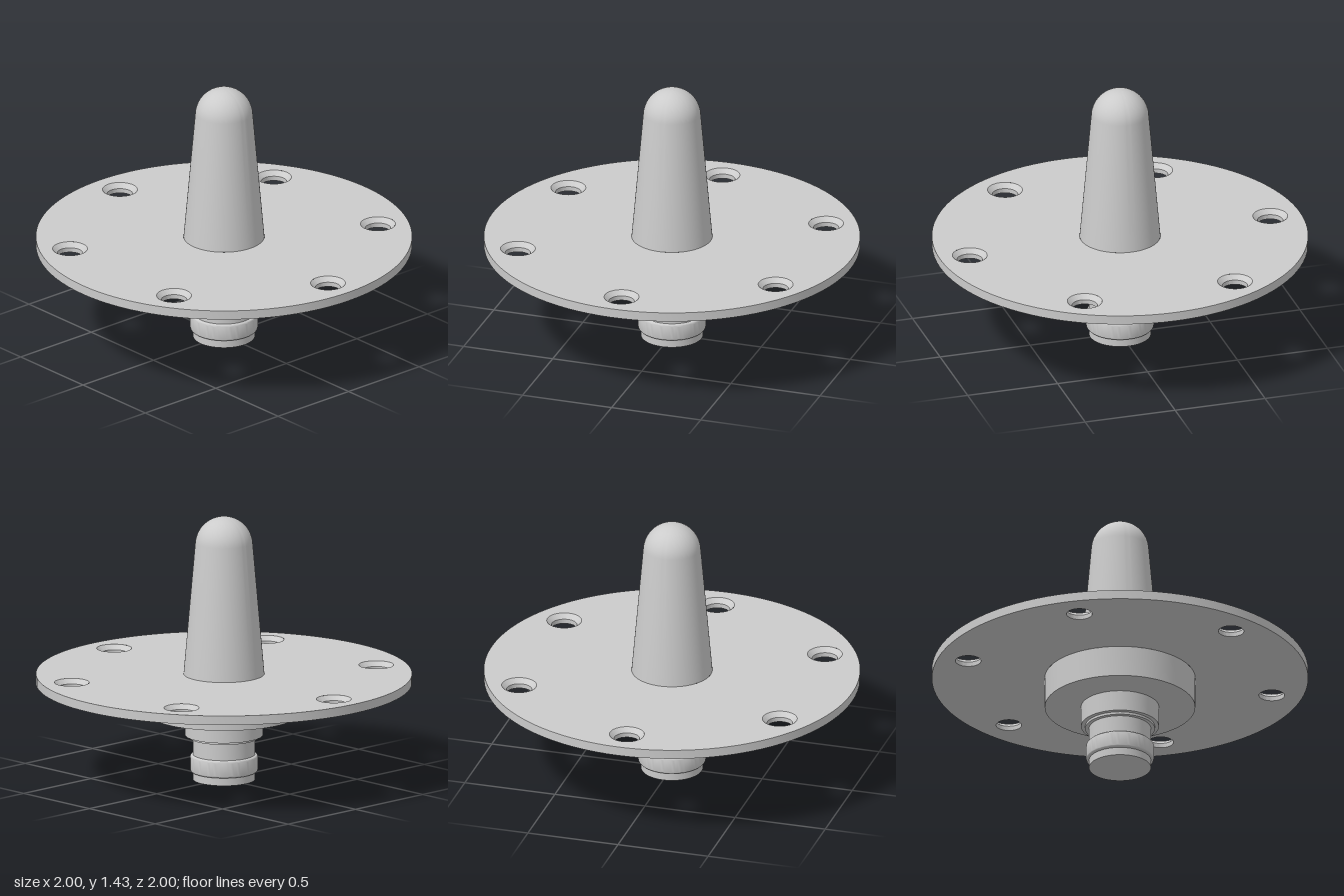
import * as THREE from 'three';
import { toCreasedNormals } from 'three/addons/utils/BufferGeometryUtils.js';

const TOP = 0.575, BOTTOM = 0.525; // plate faces
const BOSS_R = 0.4, SPIKE_R = 0.215;
const HOLE_R = 0.068, SINK_R = 0.093, HOLE_CIRCLE = 0.835;
const SEGMENTS = 96;

const material = new THREE.MeshStandardMaterial({ color: 0xcccccc });

function addMesh(group, name, geometry) {
  const mesh = new THREE.Mesh(geometry, material);
  mesh.name = name;
  group.add(mesh);
  return mesh;
}

// Turned surface from [radius, height] pairs, with sharp edges kept
function turned(profile, segments = SEGMENTS) {
  const points = profile.map(([r, y]) => new THREE.Vector2(r, y));
  return toCreasedNormals(new THREE.LatheGeometry(points, segments), Math.PI / 7);
}

const holeCentres = Array.from({ length: 6 }, (_, i) => {
  const a = (i * Math.PI) / 3;
  return [HOLE_CIRCLE * Math.cos(a), HOLE_CIRCLE * Math.sin(a)];
});

// Flat plate face with the bolt holes and a central opening
function plateFace(holeRadius, centreRadius, y, up) {
  const shape = new THREE.Shape().absarc(0, 0, 1, 0, Math.PI * 2, false);
  const cut = (x, z, r) => shape.holes.push(new THREE.Path().absarc(x, z, r, 0, Math.PI * 2, true));
  cut(0, 0, centreRadius);
  holeCentres.forEach(([x, z]) => cut(x, z, holeRadius));
  const geometry = new THREE.ShapeGeometry(shape, SEGMENTS);
  geometry.rotateX(up ? -Math.PI / 2 : Math.PI / 2);
  return geometry.translate(0, y, 0);
}

export function createModel() {
  const model = new THREE.Group();
  model.name = 'flangedPin';

  // Round plate with countersunk bolt holes
  const plate = new THREE.Group();
  plate.name = 'plate';
  model.add(plate);
  addMesh(plate, 'plateTop', plateFace(SINK_R, SPIKE_R, TOP, true));
  addMesh(plate, 'plateBottom', plateFace(HOLE_R, BOSS_R, BOTTOM, false));
  addMesh(plate, 'plateRim', turned([[1, BOTTOM], [1, TOP]]));
  const holeWall = turned([[SINK_R, TOP], [HOLE_R, TOP - 0.025], [HOLE_R, BOTTOM]]);
  holeCentres.forEach(([x, z]) => addMesh(plate, 'countersunkHole', holeWall).position.set(x, 0, z));

  // Tapered spike with a domed tip, tangent to the taper
  const spike = [[SPIKE_R, TOP]];
  const domeR = 0.153, domeY = 1.43 - domeR, start = 0.087;
  for (let i = 0; i <= 16; i++) {
    const a = start + (i / 16) * (Math.PI / 2 - start);
    spike.push([i === 16 ? 0 : domeR * Math.cos(a), domeY + domeR * Math.sin(a)]);
  }
  addMesh(model, 'taperedSpike', turned(spike));

  // Boss under the plate
  addMesh(model, 'boss', turned([[0.207, 0.355], [BOSS_R, 0.355], [BOSS_R, BOTTOM]]));

  // Stepped stem with a rounded collar near its lower end
  const collar = [];
  const collarR = 0.18, round = 0.014, low = 0.042, high = 0.137;
  for (let i = 0; i <= 6; i++) {
    const a = (i / 6 - 1) * Math.PI / 2;
    collar.push([collarR - round + round * Math.cos(a), low + round + round * Math.sin(a)]);
  }
  for (let i = 0; i <= 6; i++) {
    const a = (i / 6) * Math.PI / 2;
    collar.push([collarR - round + round * Math.cos(a), high - round + round * Math.sin(a)]);
  }
  addMesh(model, 'stem', turned([
    [0, 0], [0.165, 0], [0.165, low], ...collar,
    [0.165, high], [0.165, 0.228], [0.185, 0.228], [0.185, 0.242],
    [0.207, 0.242], [0.207, 0.355],
  ]));

  return model;
}
